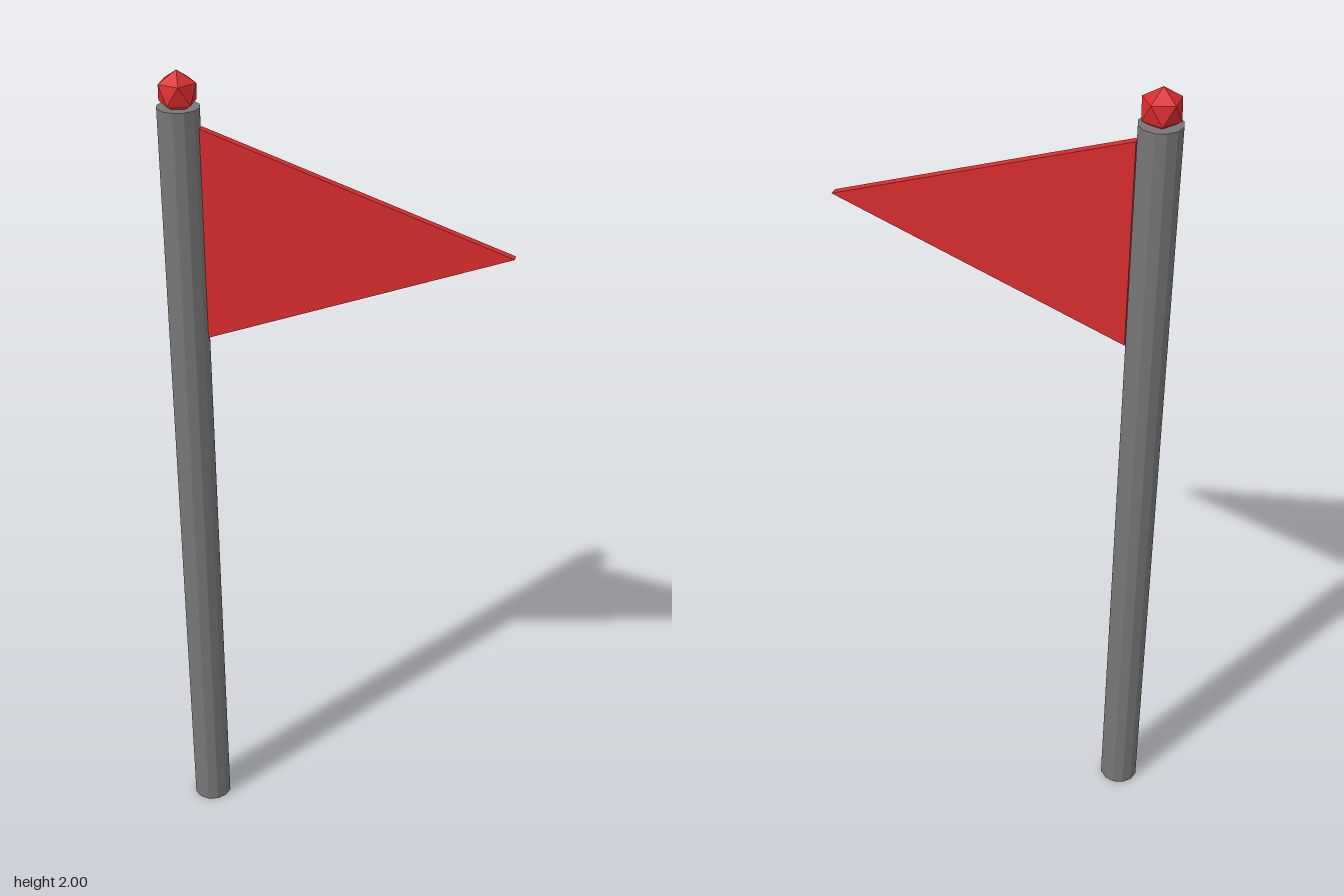
import * as THREE from 'three';

const POLE_X = -0.345;
const POLE_RADIUS = 0.048;
const POLE_HEIGHT = 1.92;

export function createModel() {
  const group = new THREE.Group();
  const grey = new THREE.MeshStandardMaterial({ color: 0x777777, flatShading: true });
  const red = new THREE.MeshStandardMaterial({ color: 0xd82c2e, flatShading: true });

  const add = (name, geometry, material, x, y, z) => {
    const mesh = new THREE.Mesh(geometry, material);
    mesh.name = name;
    mesh.position.set(x, y, z);
    group.add(mesh);
  };

  // Twelve-sided pole
  add('pole', new THREE.CylinderGeometry(POLE_RADIUS, POLE_RADIUS, POLE_HEIGHT, 12),
    grey, POLE_X, POLE_HEIGHT / 2, 0);

  // Faceted finial, turned to stand on a corner and sunk slightly into the pole
  const finial = new THREE.IcosahedronGeometry(0.048, 0);
  finial.rotateZ(-Math.atan(2 / (1 + Math.sqrt(5))));
  add('finial', finial, red, POLE_X, 1.952, 0);

  // Triangular pennant, a thin slab whose hoist edge meets the pole
  const pennant = new THREE.Shape([
    new THREE.Vector2(-0.298, 1.38),
    new THREE.Vector2(0.393, 1.628),
    new THREE.Vector2(-0.298, 1.876),
  ]);
  add('pennant', new THREE.ExtrudeGeometry(pennant, { depth: 0.02, bevelEnabled: false }),
    red, 0, 0, -0.01);

  return group;
}
